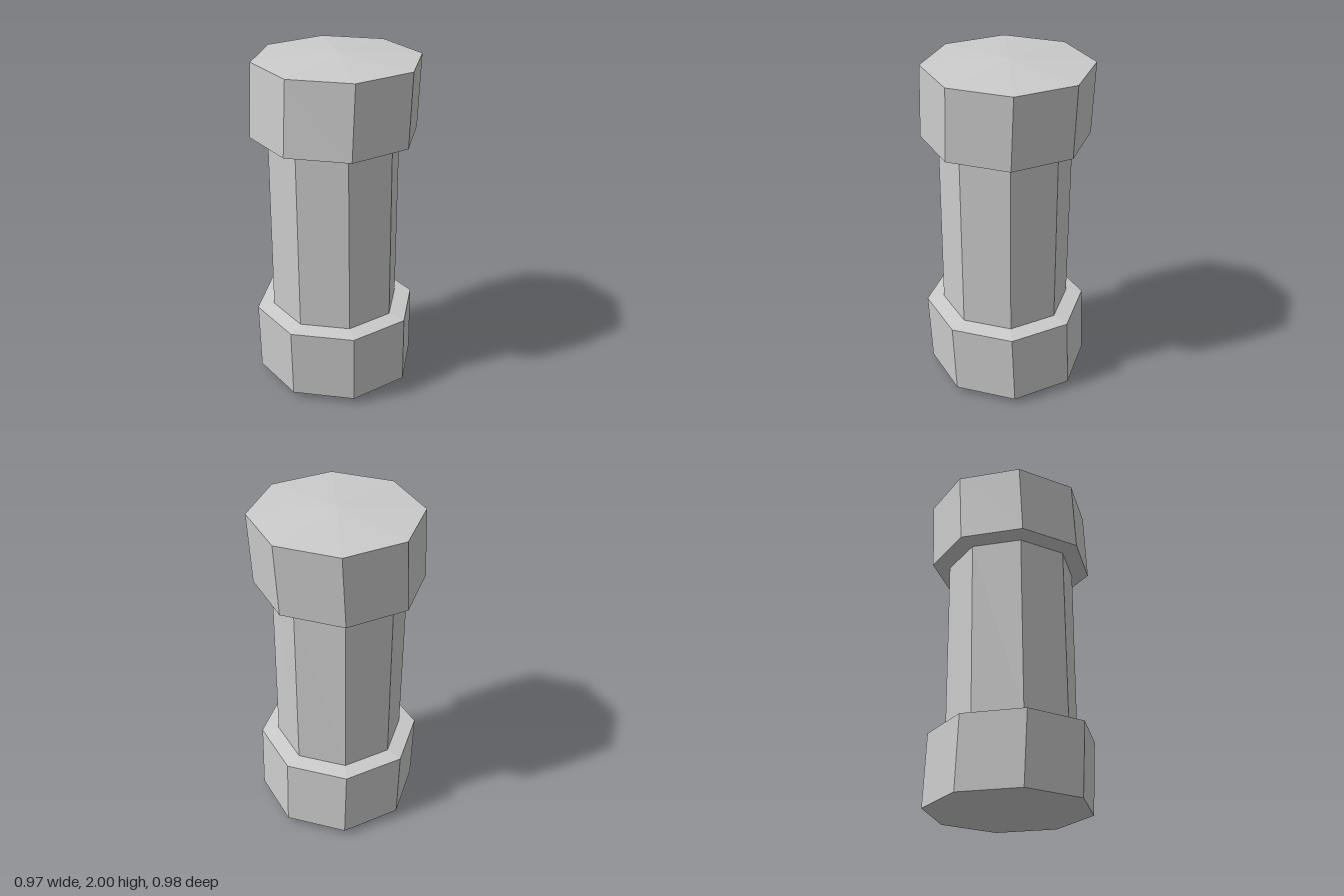
import * as THREE from 'three';

const SIDES = 8;

// Skin over a stack of octagonal rings, listed bottom to top.
// Each ring is [centreX, y, centreZ, radius, twist]; radius 0 makes an apex.
function loft(name, rings, material) {
  const corner = ([cx, y, cz, r, twist], i) => {
    const a = (i / SIDES) * Math.PI * 2 + twist;
    return [cx + r * Math.cos(a), y, cz + r * Math.sin(a)];
  };
  const positions = [];
  for (let k = 0; k < rings.length - 1; k++) {
    const low = rings[k], high = rings[k + 1];
    for (let i = 0; i < SIDES; i++) {
      const a = corner(low, i), b = corner(high, i);
      const c = corner(high, i + 1), d = corner(low, i + 1);
      if (high[3] > 0) positions.push(...a, ...b, ...c);
      if (low[3] > 0) positions.push(...a, ...c, ...d);
    }
  }
  const geometry = new THREE.BufferGeometry();
  geometry.setAttribute('position', new THREE.Float32BufferAttribute(positions, 3));
  geometry.computeVertexNormals();
  const mesh = new THREE.Mesh(geometry, material);
  mesh.name = name;
  return mesh;
}

export function createModel() {
  const group = new THREE.Group();
  group.name = 'dumbbell';
  const material = new THREE.MeshStandardMaterial({ color: 0xcccccc, flatShading: true });

  // Ends of the handle, shared with the weights that meet it
  const handleBottom = [0, 0.475, 0.012, 0.379, -0.015];
  const handleTop = [-0.005, 1.532, 0.012, 0.379, 0.008];

  // Lower weight: shallow point, leaning sides, sloped shoulder
  group.add(loft('lowerWeight', [
    [0, 0, -0.008, 0, 0],
    [-0.003, 0.036, -0.008, 0.478, -0.012],
    [0.002, 0.46, 0.012, 0.479, -0.012],
    handleBottom,
  ], material));

  // Handle
  group.add(loft('handle', [handleBottom, handleTop], material));

  // Upper weight: sloped underside, leaning sides, shallow point
  group.add(loft('upperWeight', [
    handleTop,
    [-0.005, 1.547, 0.011, 0.48, 0.015],
    [0, 1.97, -0.012, 0.479, 0.02],
    [0, 2, -0.012, 0, 0],
  ], material));

  return group;
}
